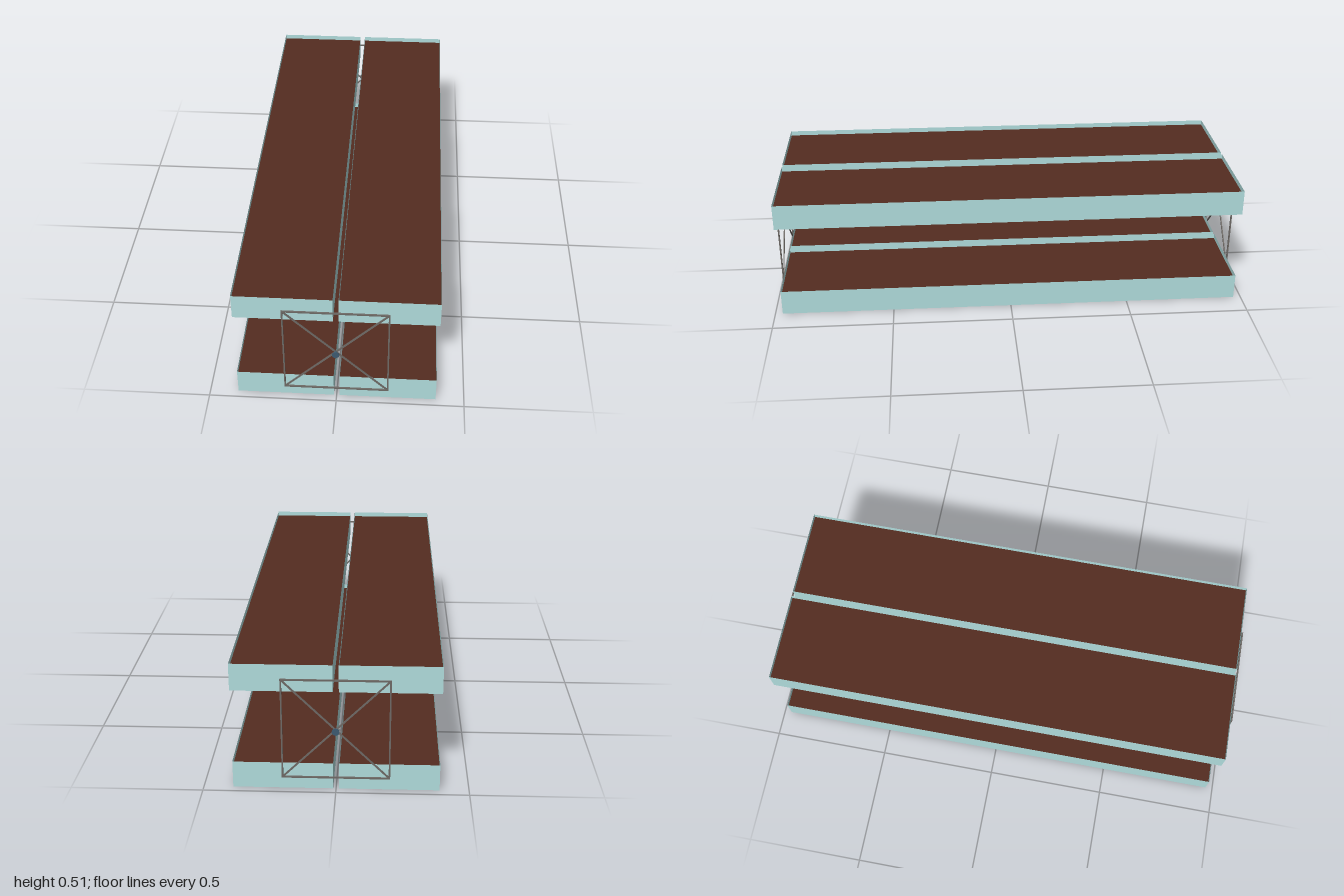
import * as THREE from 'three';

const mat = (color, side = THREE.FrontSide) => new THREE.MeshStandardMaterial({ color, side });

const TRAY = { w: 0.378, h: 0.107, l: 1.938, x: 0.2, levels: [0, 0.402] };
const SOIL_DROP = 0.02;
const FRAME = { half: 0.2, y: 0.254, z: 0.981, bar: 0.006 };

// Thin-walled planter: a box without its top face
function openBox(w, h, l) {
  const geo = new THREE.BoxGeometry(w, h, l);
  const index = Array.from(geo.index.array);
  index.splice(12, 6); // the +y face
  geo.setIndex(index);
  geo.clearGroups();
  return geo;
}

function createModel() {
  const model = new THREE.Group();
  const trayMat = mat(0xb0dcdc, THREE.DoubleSide);
  const soilMat = mat(0x542c20);
  const steelMat = mat(0x6e6a66);
  const hubMat = mat(0x3d5a70);

  const add = (parent, name, geo, material, x = 0, y = 0, z = 0) => {
    const mesh = new THREE.Mesh(geo, material);
    mesh.name = name;
    mesh.position.set(x, y, z);
    parent.add(mesh);
    return mesh;
  };

  // Four soil-filled planters in two tiers
  const trayGeo = openBox(TRAY.w, TRAY.h, TRAY.l);
  const soilGeo = new THREE.PlaneGeometry(TRAY.w - 0.002, TRAY.l - 0.002).rotateX(-Math.PI / 2);
  for (const y of TRAY.levels) {
    for (const side of [-1, 1]) {
      const planter = new THREE.Group();
      planter.name = (y ? 'upper' : 'lower') + (side > 0 ? 'Left' : 'Right') + 'Planter';
      planter.position.set(side * TRAY.x, y, 0);
      add(planter, 'tray', trayGeo, trayMat, 0, TRAY.h / 2);
      add(planter, 'soil', soilGeo, soilMat, 0, TRAY.h - SOIL_DROP);
      model.add(planter);
    }
  }

  // Cross-braced square frame with a pivot hub at each end
  const { half, bar } = FRAME;
  const edgeGeo = new THREE.BoxGeometry(2 * half + bar, bar, bar);
  const braceGeo = new THREE.BoxGeometry(2 * half * Math.SQRT2, bar, bar * 0.8);
  const axleGeo = new THREE.CylinderGeometry(0.005, 0.005, 0.018, 16).rotateX(Math.PI / 2);
  const capGeo = new THREE.CylinderGeometry(0.014, 0.014, 0.004, 24).rotateX(Math.PI / 2);
  for (const end of [1, -1]) {
    const frame = new THREE.Group();
    frame.name = end > 0 ? 'frontFrame' : 'backFrame';
    frame.position.set(0, FRAME.y, end * FRAME.z);
    if (end < 0) frame.rotation.y = Math.PI;
    for (const s of [-1, 1]) {
      add(frame, 'crossBar', edgeGeo, steelMat, 0, s * half);
      add(frame, 'upright', edgeGeo, steelMat, s * half).rotation.z = Math.PI / 2;
      add(frame, 'diagonalBrace', braceGeo, steelMat).rotation.z = s * Math.PI / 4;
    }
    add(frame, 'hubAxle', axleGeo, hubMat, 0, 0, 0.008);
    add(frame, 'hubCap', capGeo, hubMat, 0, 0, 0.017);
    model.add(frame);
  }

  return model;
}

export { createModel };
